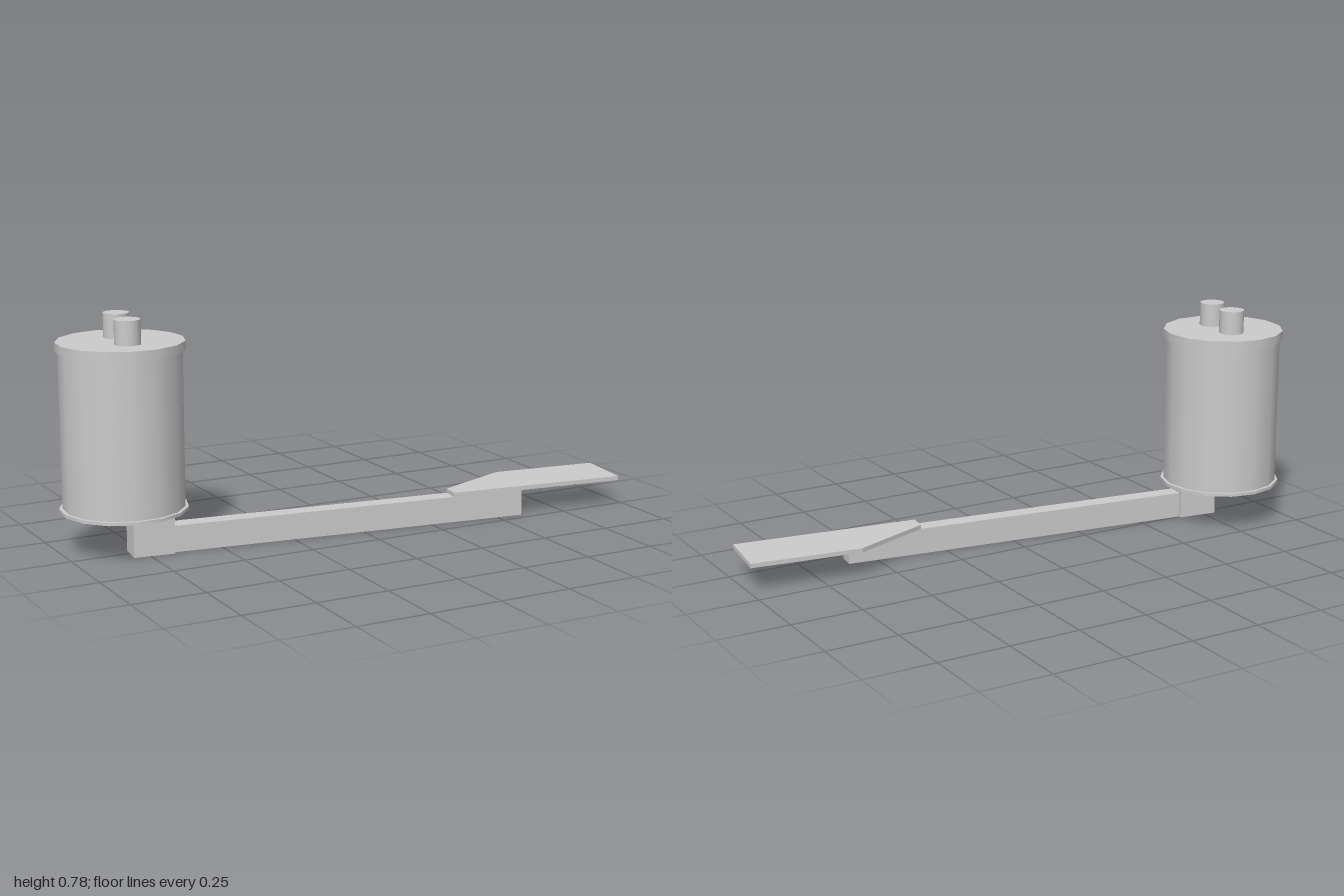
import * as THREE from 'three';

export function createModel() {
  const model = new THREE.Group();
  const material = new THREE.MeshStandardMaterial({ color: 0xcccccc });

  // Everything shares one slightly turned frame centred on the canister axis
  const frame = new THREE.Group();
  frame.name = 'leverAssembly';
  frame.position.set(-0.79, 0, -0.056);
  frame.rotation.y = -0.126;
  model.add(frame);

  const add = (name, geometry, x = 0, y = 0, z = 0) => {
    const mesh = new THREE.Mesh(geometry, material);
    mesh.name = name;
    mesh.position.set(x, y, z);
    frame.add(mesh);
    return mesh;
  };
  const cylinder = (name, r, y0, y1, sides, x = 0, z = 0) =>
    add(name, new THREE.CylinderGeometry(r, r, y1 - y0, sides), x, (y0 + y1) / 2, z);
  const box = (name, x0, x1, y0, y1, z0, z1) =>
    add(name, new THREE.BoxGeometry(x1 - x0, y1 - y0, z1 - z0),
      (x0 + x1) / 2, (y0 + y1) / 2, (z0 + z1) / 2);

  // Canister with overhanging rims, one facet corner towards the back
  const turn = Math.PI + 0.126;
  cylinder('canisterBody', 0.202, 0.14, 0.69, 15).rotation.y = turn;
  cylinder('bottomRim', 0.213, 0.137, 0.148, 15).rotation.y = turn;
  cylinder('topRim', 0.212, 0.669, 0.7, 15).rotation.y = turn;

  // Two terminal studs on the lid
  for (const [name, z] of [['frontStud', 0.074], ['backStud', -0.067]]) {
    cylinder(name, 0.043, 0.69, 0.781, 24, 0.005, z);
  }

  // Mounting block under the canister and the long arm
  box('mountingBlock', -0.001, 0.139, 0, 0.136, 0.026, 0.114);
  box('arm', 0.139, 1.406, 0, 0.09, 0.038, 0.099);

  // Flat paddle, widening towards the back
  const outline = [[1.145, 0.099], [1.79, 0.099], [1.79, -0.111], [1.407, -0.111], [1.145, 0.037]];
  const shape = new THREE.Shape(outline.map(([x, z]) => new THREE.Vector2(x, -z)));
  const plate = new THREE.ExtrudeGeometry(shape, { depth: 0.015, bevelEnabled: false });
  plate.rotateX(-Math.PI / 2);
  add('paddle', plate, 0, 0.09, 0);

  return model;
}
